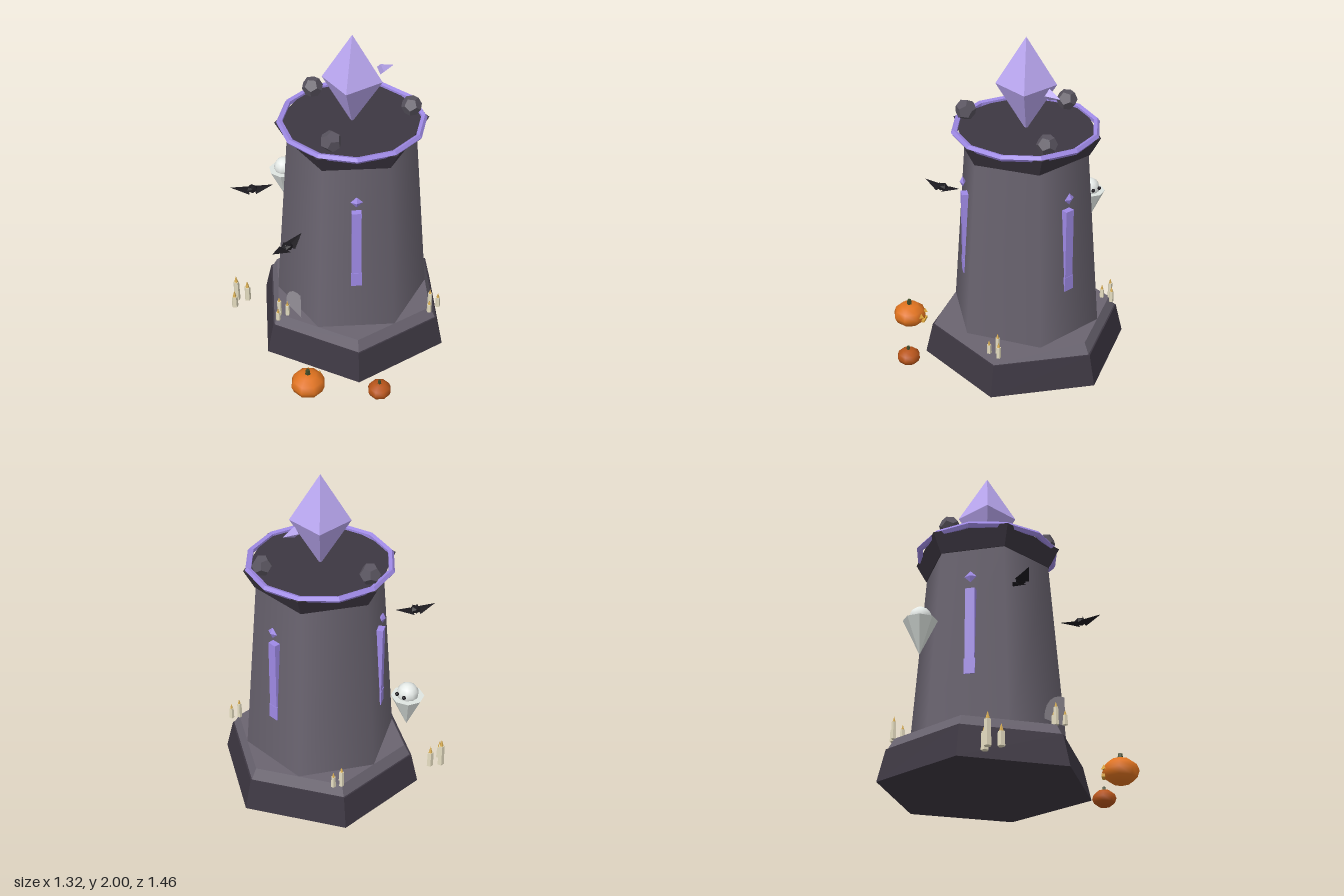
import * as THREE from 'three';

const mat = (color, flatShading = true, side = THREE.FrontSide) =>
  new THREE.MeshStandardMaterial({ color, flatShading, side });

const DARK = mat(0x3d3742), STONE = mat(0x6a6470), SHAFT = mat(0x6a6470, false);
const ROCK = mat(0x5a5560), GLOW = mat(0x9f8ae6), CRYSTAL = mat(0xbba8f2);
const WAX = mat(0xe4dcc0), FLAME = mat(0xd9ae55), BLACK = mat(0x1c1a1f);
const GHOST = mat(0xdfe5e1), GHOST_HEAD = mat(0xe6ebe8, false), WEB = mat(0x99949c, true, THREE.DoubleSide);
const STEM = mat(0x3f4a28), GOLD = mat(0xe0a93c);

function add(parent, name, geometry, material, x = 0, y = 0, z = 0) {
  const mesh = new THREE.Mesh(geometry, material);
  mesh.name = name;
  mesh.position.set(x, y, z);
  parent.add(mesh);
  return mesh;
}

function group(parent, name, x = 0, y = 0, z = 0, turn = 0) {
  const g = new THREE.Group();
  g.name = name;
  g.position.set(x, y, z);
  g.rotation.y = turn;
  parent.add(g);
  return g;
}

// Six-sided tapered block between two heights
function hexTier(parent, name, rTop, rBottom, y0, y1, material, turn = 0) {
  const geo = new THREE.CylinderGeometry(rTop, rBottom, y1 - y0, 6);
  add(parent, name, geo, material, 0, (y0 + y1) / 2, 0).rotation.y = turn;
}

function buildTower(model) {
  const tower = group(model, 'tower', 0.04, 0, -0.03);
  hexTier(tower, 'plinth', 0.57, 0.615, 0, 0.19, DARK, Math.PI / 6);
  hexTier(tower, 'plinthStep', 0.525, 0.56, 0.19, 0.255, STONE, Math.PI / 6);
  hexTier(tower, 'shaft', 0.372, 0.455, 0.25, 1.345, SHAFT);
  hexTier(tower, 'cornice', 0.44, 0.378, 1.34, 1.455, DARK);

  // Glowing rim
  const rim = add(tower, 'rim', new THREE.TorusGeometry(0.41, 0.019, 5, 12), GLOW, 0, 1.457, 0);
  rim.rotation.x = Math.PI / 2;

  // Slit windows with a gem above, on every other face
  for (let i = 0; i < 3; i++) {
    const side = group(tower, 'windowBay', 0, 0, 0, (i * 2 * Math.PI) / 3);
    add(side, 'slitWindow', new THREE.BoxGeometry(0.05, 0.52, 0.056), GLOW, 0.353, 0.81, 0);
    add(side, 'windowSill', new THREE.BoxGeometry(0.05, 0.09, 0.064), GLOW, 0.355, 0.595, 0);
    add(side, 'windowGem', new THREE.OctahedronGeometry(0.035), GLOW, 0.368, 1.145, 0).scale.x = 0.5;
  }

  // Large floating crystal and its small shard
  const crystal = add(tower, 'crystal', new THREE.OctahedronGeometry(1), CRYSTAL, 0, 1.72, 0);
  crystal.scale.set(0.172, 0.28, 0.172);
  crystal.rotation.y = Math.PI / 4;
  const shard = add(tower, 'crystalShard', new THREE.ConeGeometry(0.034, 0.09, 4), CRYSTAL, 0.237, 1.72, 0);
  shard.rotation.z = -Math.PI / 2;
}

// Candles: one tall and two short, each with a flame
function buildCandles(model, x, y, z, scale = 1) {
  const g = group(model, 'candleCluster', x, y, z);
  g.scale.setScalar(scale);
  for (const [cx, cz, h] of [[0, 0, 0.1], [-0.032, 0.037, 0.055], [0.04, 0.027, 0.07]]) {
    add(g, 'candle', new THREE.CylinderGeometry(0.013, 0.015, h, 5), WAX, cx, h / 2, cz);
    add(g, 'flame', new THREE.ConeGeometry(0.009, 0.032, 5), FLAME, cx, h + 0.016, cz);
  }
}

function buildPumpkin(model, x, z, r, color, carved) {
  const g = group(model, 'pumpkin', x, 0, z, 0.6);
  const body = add(g, 'pumpkinBody', new THREE.SphereGeometry(r, 8, 6), mat(color, false), 0, r * 0.77, 0);
  body.scale.y = 0.74;
  add(g, 'pumpkinStem', new THREE.CylinderGeometry(r * 0.12, r * 0.17, r * 0.34, 5), STEM, 0, r * 1.6, 0);
  if (!carved) return;
  // Carved face, looking along the group's +x
  for (const s of [-1, 1]) {
    const eye = add(g, 'carvedEye', new THREE.ConeGeometry(0.018, 0.03, 3), GOLD, 0.088, 0.1, s * 0.036);
    eye.rotation.y = Math.PI / 2;
  }
  add(g, 'carvedMouth', new THREE.BoxGeometry(0.02, 0.016, 0.06), GOLD, 0.094, 0.055, 0);
}

function buildBat(model, x, y, z, turn) {
  const g = group(model, 'bat', x, y, z, turn);
  add(g, 'batBody', new THREE.IcosahedronGeometry(0.034), BLACK).scale.set(1, 0.68, 1);
  for (const s of [-1, 1]) {
    // Flattened wing raised towards its tip
    const geo = new THREE.ConeGeometry(0.042, 0.11, 4);
    geo.scale(0.16, 1, 1);
    geo.rotateZ(-Math.PI / 2);
    const wing = add(group(g, 'wingSide', 0, 0, 0, s > 0 ? 0 : Math.PI), 'batWing', geo, BLACK, 0.072, 0.004, 0);
    wing.rotation.z = 0.28;
    add(g, 'batEar', new THREE.ConeGeometry(0.008, 0.018, 4), BLACK, s * 0.013, 0.024, 0.008);
  }
}

function buildGhost(model) {
  const g = group(model, 'ghost', -0.056, 0, -0.64);
  add(g, 'ghostBody', new THREE.ConeGeometry(0.095, 0.2, 8), GHOST, 0, 0.7, 0).rotation.x = Math.PI;
  add(g, 'ghostHead', new THREE.SphereGeometry(0.063, 10, 8), GHOST_HEAD, 0, 0.817, 0);
  for (const s of [-1, 1])
    add(g, 'ghostEye', new THREE.SphereGeometry(0.012, 6, 5), BLACK, 0.06, 0.826, s * 0.026);
}

export function createModel() {
  const model = new THREE.Group();
  model.name = 'hauntedTower';
  buildTower(model);

  // Loose rocks on the top
  [[-0.24, 1.53, 0.18, 0.062], [0, 1.51, -0.38, 0.062], [0.36, 1.505, 0.1, 0.06]].forEach(([x, y, z, r], i) => {
    add(model, 'rock', new THREE.DodecahedronGeometry(r), ROCK, x, y, z).rotation.set(i * 0.7, i * 1.1 + 0.3, 0.2);
  });

  buildCandles(model, -0.483, 0.255, -0.03);
  buildCandles(model, 0.308, 0.255, -0.485);
  buildCandles(model, 0.308, 0.255, 0.415);
  buildCandles(model, -0.487, 0, -0.557, 1.42);

  buildPumpkin(model, -0.562, 0.405, 0.103, 0xe0731f, true);
  buildPumpkin(model, -0.232, 0.66, 0.07, 0xb8551a, false);

  buildBat(model, -0.48, 1.025, -0.295, -0.46);
  buildBat(model, -0.52, 0.91, 0.15, 0.3);
  buildGhost(model);

  // Quarter-round web beside the shaft
  const web = add(model, 'web', new THREE.CircleGeometry(0.17, 6, 0, Math.PI / 2), WEB, -0.42, 0.3, 0.115);
  web.rotation.y = Math.PI / 2;
  return model;
}
